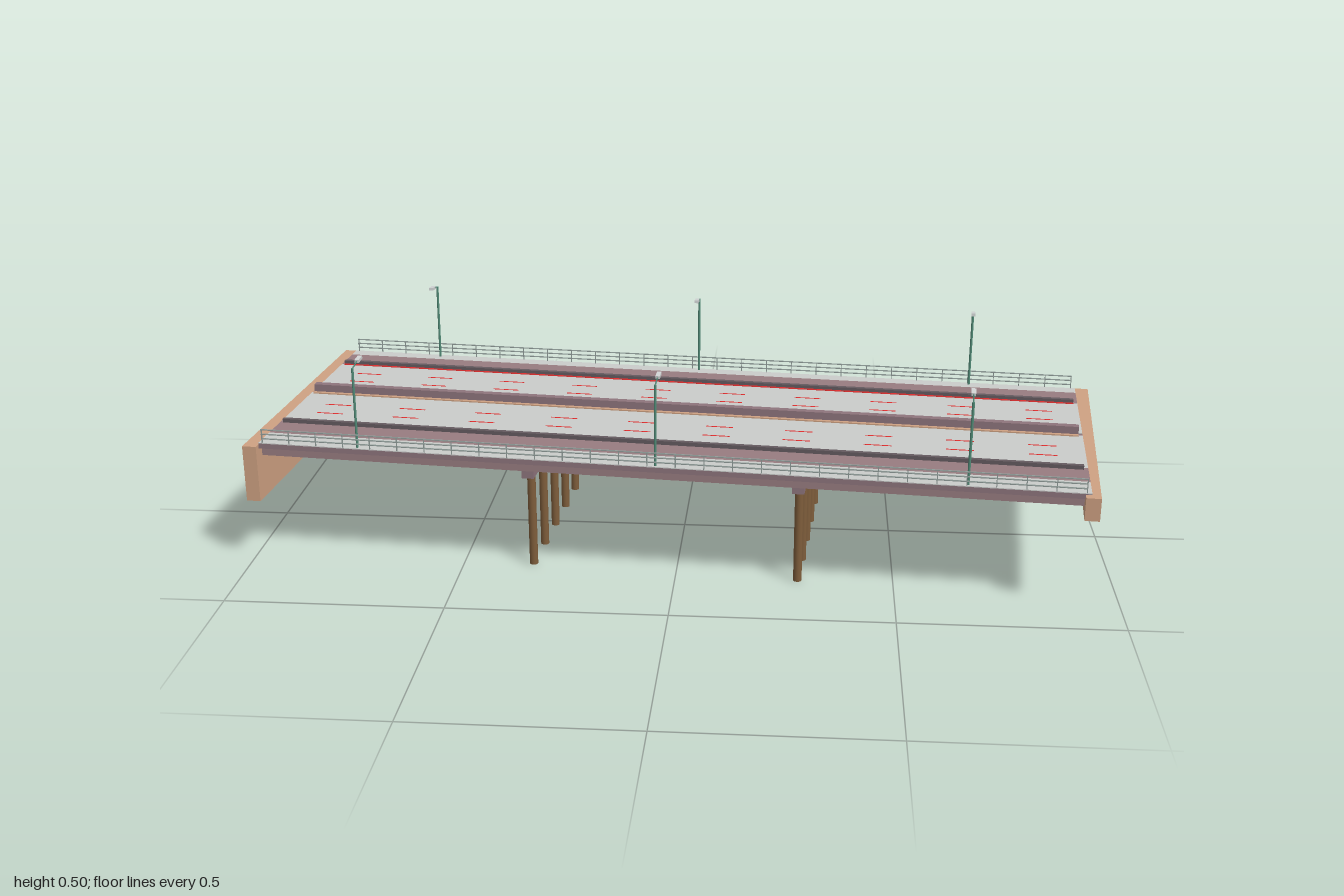
import * as THREE from 'three';

const mat = (name, color) => {
  const m = new THREE.MeshStandardMaterial({ color });
  m.name = name;
  return m;
};

export function createModel() {
  const tan = mat('tan concrete', 0xcea182);
  const mauve = mat('mauve concrete', 0x8e747c);
  const shoulder = mat('shoulder mauve', 0x987c80);
  const grey = mat('road grey', 0xcaccca);
  const red = mat('red paint', 0xe02c2c);
  const dark = mat('dark barrier', 0x645a5f);
  const brown = mat('brown pile', 0x7e5d3b);
  const green = mat('green metal', 0x528c78);
  const steel = mat('railing steel', 0x909c99);
  const lampGrey = mat('lamp grey', 0xd0d3d3);

  const model = new THREE.Group();
  const bridge = new THREE.Group();
  bridge.name = 'bridge';
  bridge.rotation.y = -0.0785; // the bridge lies slightly askew
  model.add(bridge);

  // box given by its ranges along, up and across
  const box = (parent, name, m, [x0, x1], [y0, y1], [z0, z1]) => {
    const mesh = new THREE.Mesh(new THREE.BoxGeometry(x1 - x0, y1 - y0, z1 - z0), m);
    mesh.position.set((x0 + x1) / 2, (y0 + y1) / 2, (z0 + z1) / 2);
    mesh.name = name;
    parent.add(mesh);
    return mesh;
  };

  // thin round bar between two points
  const bar = (parent, name, m, a, b, r, sides = 6) => {
    const p = new THREE.Vector3(...a), d = new THREE.Vector3(...b).sub(p);
    const mesh = new THREE.Mesh(new THREE.CylinderGeometry(r, r, d.length(), sides), m);
    mesh.position.copy(p).addScaledVector(d, 0.5);
    mesh.quaternion.setFromUnitVectors(new THREE.Vector3(0, 1, 0), d.normalize());
    mesh.name = name;
    parent.add(mesh);
  };

  // end walls, the low one turned a little further
  box(bridge, 'tallAbutment', tan, [-0.975, -0.942], [0.154, 0.289], [-0.363, 0.363]);
  const low = box(bridge, 'lowAbutment', tan, [0.935, 0.968], [0.228, 0.281], [-0.363, 0.365]);
  low.rotation.y = -0.019;

  // two rows of piles under cap beams
  for (const u of [-0.316, 0.304]) {
    box(bridge, 'pierCap', mauve, [u - 0.014, u + 0.014], [0.228, 0.253], [-0.339, 0.31]);
    for (let i = 0; i < 6; i++) {
      const z = -0.0143 + (i - 2.5) * 0.1158;
      bar(bridge, 'pile', brown, [u, 0, z], [u, 0.23, z], 0.0098, 16);
    }
  }

  // deck falls gently towards +x; y = 0 is its upper face
  const deck = new THREE.Group();
  deck.name = 'deck';
  deck.position.y = 0.287;
  deck.rotation.z = -0.0045;
  bridge.add(deck);
  const L = 0.942, C = -0.02; // half length, road centre line
  const span = [-L, L], run = [-0.935, 0.932];
  box(deck, 'deckSlab', mauve, span, [-0.012, 0], [-0.353, 0.346]);
  for (let i = 0; i < 12; i++) {
    const z = -0.326 + i * 0.0585;
    box(deck, 'girder', shoulder, span, [-0.035, -0.011], [z - 0.011, z + 0.011]);
  }

  // carriageways, footways, kerb barriers, edge lines
  for (const s of [-1, 1]) {
    const across = (a, b) => [C + s * a, C + s * b].sort((p, q) => p - q);
    box(deck, 'carriageway', grey, span, [0, 0.002], across(0.008, 0.216));
    box(deck, 'shoulder', shoulder, span, [0, 0.002], across(0.216, 0.298));
    box(deck, 'footway', grey, span, [0, 0.002],
      s > 0 ? [0.278, 0.346] : [-0.353, -0.318]);
    box(deck, 'sideBarrier', dark, run, [0, 0.011], across(0.217, 0.228));
    box(deck, 'edgeLine', red, run, [0.001, 0.0035], across(0.211, 0.217));
    box(deck, 'medianKerb', tan, run, [0, 0.005], across(0.008, 0.018));
    // lane dashes
    for (const offset of [0.089, 0.149]) {
      for (let i = 0; i < 10; i++) {
        const u = (i - 4.5) * 0.188;
        box(deck, 'laneDash', red, [u - 0.032, u + 0.032], [0.001, 0.0022],
          across(offset - 0.0025, offset + 0.0025));
      }
    }
  }
  box(deck, 'medianBarrier', mauve, run, [0, 0.023], [C - 0.009, C + 0.009]);

  // railings and street lamps on both sides
  for (const s of [-1, 1]) {
    const z = s > 0 ? 0.344 : -0.351;
    for (const y of [0.012, 0.023, 0.034]) {
      box(deck, 'rail', steel, run, [y - 0.001, y + 0.001], [z - 0.002, z + 0.002]);
    }
    for (let i = 0; i < 30; i++) {
      const u = -0.933 + i * 1.864 / 29;
      box(deck, 'railPost', steel, [u - 0.001, u + 0.001], [0, 0.035], [z - 0.0015, z + 0.0015]);
    }
    const pz = s > 0 ? 0.338 : -0.342;
    for (const u of [-0.707, -0.015, 0.677]) {
      const lamp = new THREE.Group();
      lamp.name = 'streetLamp';
      lamp.position.set(u, 0, pz);
      deck.add(lamp);
      bar(lamp, 'lampPole', green, [0, 0, 0], [0, 0.193, 0], 0.003, 8);
      bar(lamp, 'lampArm', green, [0, 0.192, 0], [0, 0.2, -s * 0.036], 0.0015);
      const head = box(lamp, 'lampHead', lampGrey, [-0.005, 0.005], [0.197, 0.204],
        [-s * 0.044 - 0.013, -s * 0.044 + 0.013]);
      head.rotation.x = s * 0.1;
    }
  }
  return model;
}
